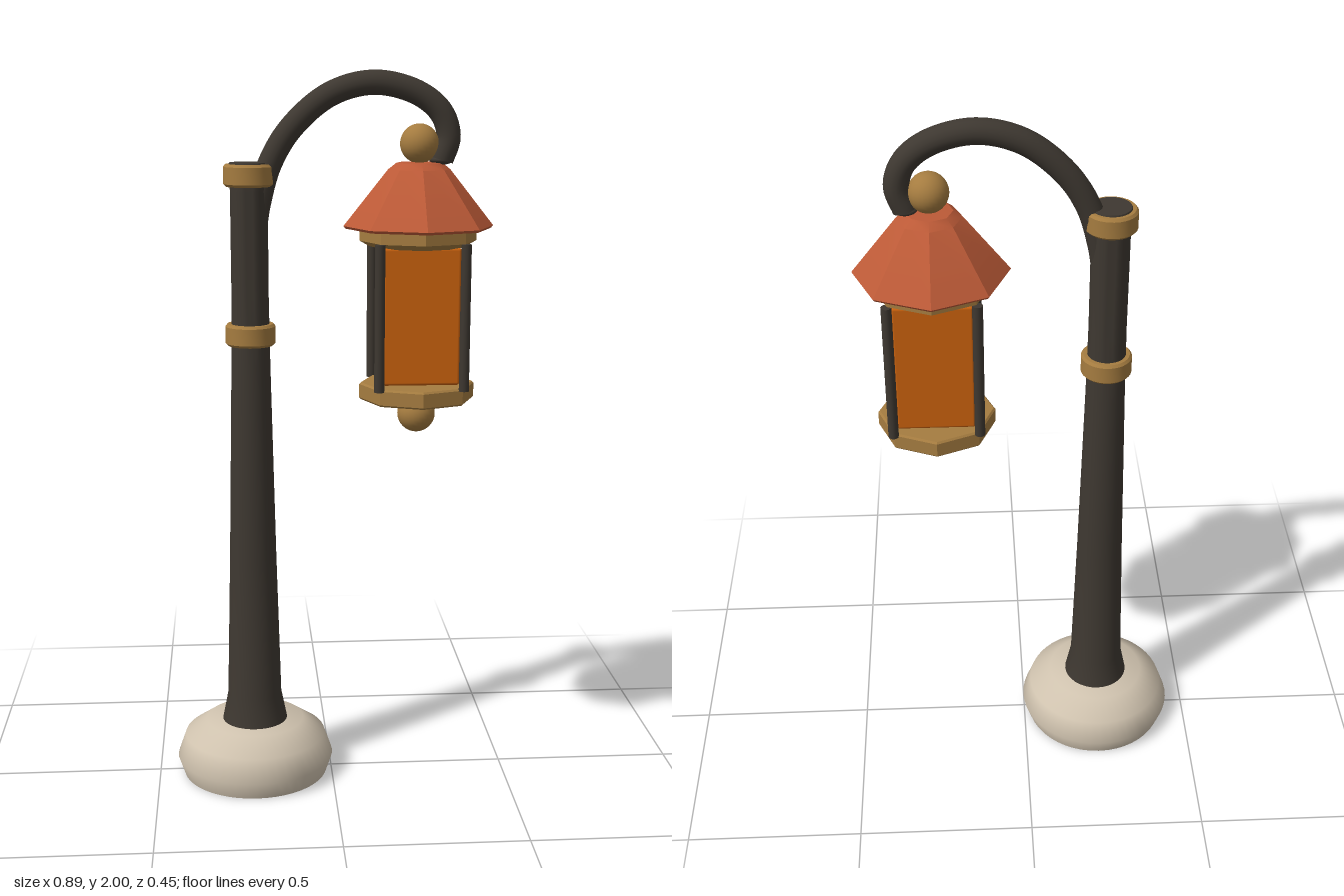
import * as THREE from 'three';
import { toCreasedNormals } from 'three/addons/utils/BufferGeometryUtils.js';
import { RoundedBoxGeometry } from 'three/addons/geometries/RoundedBoxGeometry.js';

const POST_X = -0.222, LAMP_X = 0.24;

function mat(name, color) {
  const m = new THREE.MeshStandardMaterial({ color });
  m.name = name;
  return m;
}

export function createModel() {
  const iron = mat('dark iron', 0x3e3831);
  const brass = mat('brass', 0xa57c40);
  const tile = mat('terracotta', 0xbc5a37);
  const glass = mat('amber glass', 0xca620e);
  const stone = mat('pale stone', 0xd0c3af);

  const model = new THREE.Group();
  model.name = 'streetLamp';

  function add(parent, name, geometry, material, x = 0, y = 0, z = 0) {
    const mesh = new THREE.Mesh(geometry, material);
    mesh.name = name;
    mesh.position.set(x, y, z);
    parent.add(mesh);
    return mesh;
  }

  // Turned part from [radius, height] pairs, listed bottom to top
  function turned(profile, sides, crease = 0.6) {
    const points = profile.map(([r, y]) => new THREE.Vector2(r, y));
    return toCreasedNormals(new THREE.LatheGeometry(points, sides), crease);
  }

  // Post: stone foot, tapering shaft and two collars
  const post = new THREE.Group();
  post.name = 'post';
  post.position.x = POST_X;
  model.add(post);
  add(post, 'foot', turned([[0, 0], [0.208, 0], [0.225, 0.05], [0.202, 0.115], [0.14, 0.158], [0, 0.16]], 48, 1.0), stone);
  add(post, 'shaft', turned([[0, 0.15], [0.095, 0.15], [0.092, 0.165], [0.077, 0.24], [0.066, 0.65],
    [0.054, 1.2], [0.051, 1.4], [0.051, 1.68], [0.055, 1.75], [0.052, 1.757], [0, 1.757]], 32), iron);
  for (const [name, y] of [['lowerCollar', 1.26], ['upperCollar', 1.693]]) {
    add(post, name, turned([[0.048, y], [0.062, y], [0.069, y + 0.007], [0.069, y + 0.053],
      [0.063, y + 0.06], [0.048, y + 0.06]], 32), brass);
  }

  // Curved arm reaching over to the lantern
  const path = [[-0.207, 1.58], [-0.195, 1.65], [-0.164, 1.755], [-0.105, 1.85], [0, 1.937], [0.117, 1.967],
    [0.233, 1.94], [0.298, 1.888], [0.319, 1.823], [0.3, 1.762]].map(([x, y]) => new THREE.Vector3(x, y, 0));
  const arm = new THREE.Group();
  arm.name = 'arm';
  model.add(arm);
  add(arm, 'armTube', new THREE.TubeGeometry(new THREE.CatmullRomCurve3(path), 64, 0.033, 16), iron);
  for (const p of [path[0], path[path.length - 1]]) {
    const cap = add(arm, 'armEnd', new THREE.SphereGeometry(0.033, 16, 10), iron, p.x, p.y, 0);
    cap.scale.y = 0.4;
  }

  // Lantern: octagonal roof and plates around a square glass box
  const lantern = new THREE.Group();
  lantern.name = 'lantern';
  lantern.position.x = LAMP_X;
  model.add(lantern);
  add(lantern, 'roof', turned([[0, 1.578], [0.2, 1.578], [0.206, 1.585], [0.085, 1.737], [0.062, 1.755], [0, 1.757]], 8, 0.5), tile);
  add(lantern, 'topPlate', turned([[0, 1.53], [0.135, 1.53], [0.161, 1.545], [0.161, 1.58], [0, 1.58]], 8, 0.3), brass);
  add(lantern, 'bottomPlate', turned([[0, 1.103], [0.156, 1.103], [0.161, 1.108], [0.161, 1.146], [0.156, 1.151], [0, 1.151]], 8, 0.3), brass);
  add(lantern, 'glass', new RoundedBoxGeometry(0.212, 0.375, 0.212, 2, 0.008), glass, 0, 1.347, 0);

  // Corner bars
  for (const sx of [-1, 1]) {
    for (const sz of [-1, 1]) {
      add(lantern, 'cornerBar', new THREE.CylinderGeometry(0.014, 0.014, 0.4, 12), iron, sx * 0.116, 1.345, sz * 0.116);
    }
  }

  // Ball finials
  add(lantern, 'topFinial', new THREE.SphereGeometry(0.053, 24, 16), brass, 0, 1.806, 0);
  add(lantern, 'bottomFinial', new THREE.SphereGeometry(0.053, 24, 16), brass, 0, 1.062, 0);

  return model;
}
